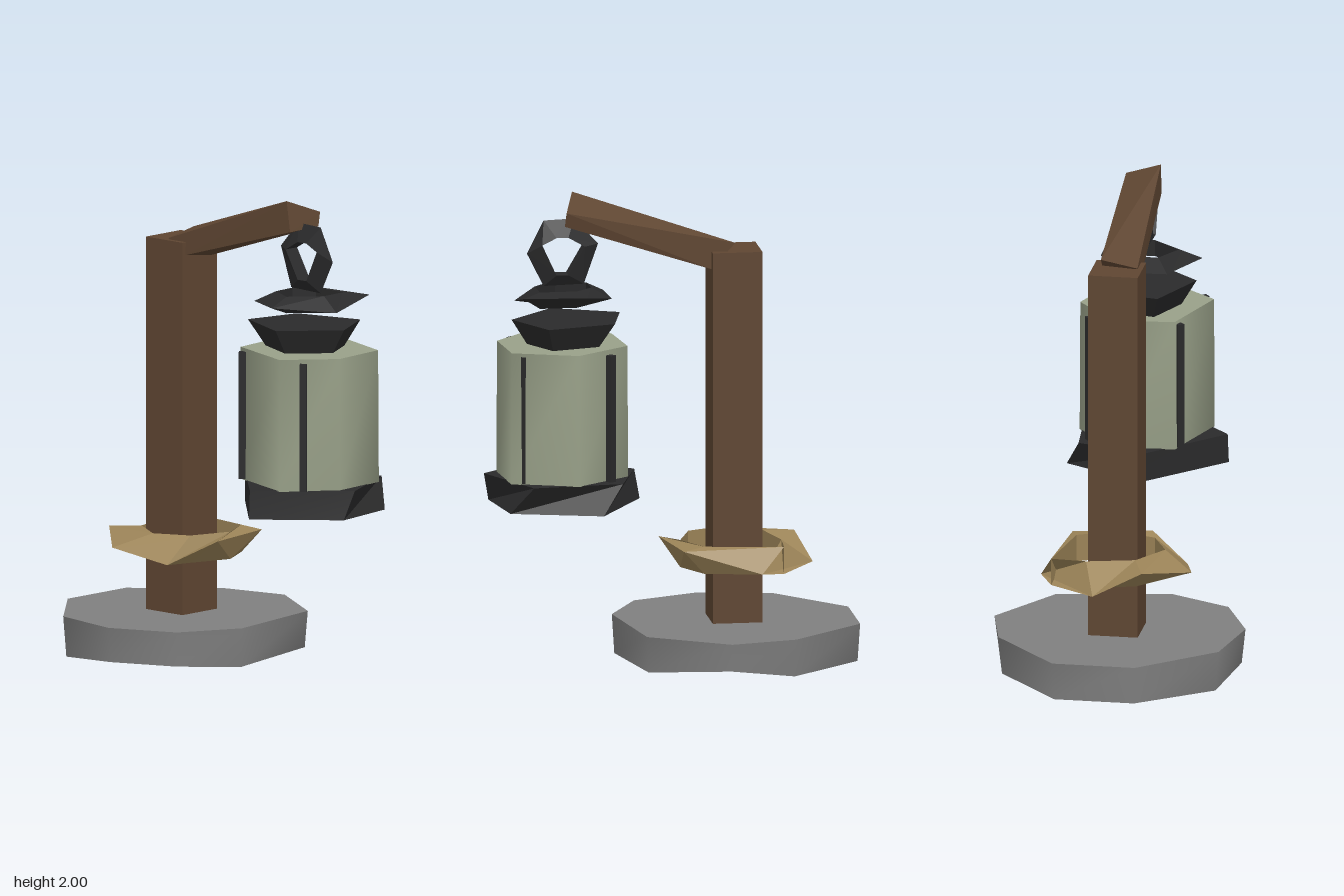
import * as THREE from 'three';
import { toCreasedNormals } from 'three/addons/utils/BufferGeometryUtils.js';
import { ConvexGeometry } from 'three/addons/geometries/ConvexGeometry.js';

const paint = (name, color) => {
  const m = new THREE.MeshStandardMaterial({ color });
  m.name = name;
  return m;
};

// Skin consecutive rings of [x, y, z] points; rings run counter-clockwise seen from above
function loft(rings, crease = 0.1) {
  const pos = [];
  const tri = (a, b, c) => {
    const same = (p, q) => p.every((v, k) => v === q[k]);
    if (!same(a, b) && !same(b, c) && !same(c, a)) pos.push(...a, ...b, ...c);
  };
  for (let r = 0; r < rings.length - 1; r++) {
    const p = rings[r], q = rings[r + 1], n = p.length;
    for (let i = 0; i < n; i++) {
      const j = (i + 1) % n;
      tri(p[i], p[j], q[j]);
      tri(p[i], q[j], q[i]);
    }
  }
  const g = new THREE.BufferGeometry();
  g.setAttribute('position', new THREE.Float32BufferAttribute(pos, 3));
  g.computeVertexNormals();
  return toCreasedNormals(g, crease);
}

const level = (pts, y, s = 1) => pts.map(([x, z]) => [x * s, y, z * s]);

// Capped solid between a lower and an upper ring
function solid(lower, upper, crease) {
  const cap = ring => {
    const y = ring.reduce((s, p) => s + p[1], 0) / ring.length;
    return ring.map(() => [0, y, 0]);
  };
  return loft([cap(lower), lower, upper, cap(upper)], crease);
}

// Hoop with a triangular section: outer [x, z, y], inner [x, z]
function hoop(outer, inner, half) {
  const o = outer.map(([x, z, y = 0]) => [x, y, z]);
  return loft([o, level(inner, half), level(inner, -half), o]);
}

export function createModel() {
  const model = new THREE.Group();
  const stone = paint('stone', 0x808080);
  const wood = paint('wood', 0x5f4632);
  const iron = paint('iron', 0x2a2a2b);
  const rope = paint('rope', 0x9c8458);
  const glass = paint('glass', 0x99a189);

  const add = (name, geo, mat, x = 0, y = 0, z = 0) => {
    const m = new THREE.Mesh(geo, mat);
    m.name = name;
    m.position.set(x, y, z);
    model.add(m);
    return m;
  };

  // Stone foot
  const foot = [[0.49, 0.15], [0.41, -0.33], [0.08, -0.535], [-0.2, -0.47], [-0.51, -0.19],
    [-0.51, 0.16], [-0.24, 0.47], [0.08, 0.53], [0.36, 0.41]];
  const dips = [0.01, 0.03, 0.09, 0.02, 0.02, 0.02, 0, 0.04, 0.04];
  const footBottom = foot.map(([x, z], i) => [x * 0.98, dips[i] * 0.6, z * 0.97]);
  add('stoneFoot', solid(footBottom, level(foot, 0.172), 0.95), stone, -0.27);

  // Post and sloping arm
  add('post', new THREE.BoxGeometry(0.21, 1.6, 0.21), wood, -0.275, 0.955);
  const armCorners = [
    [-0.27, 1.79, -0.07], [-0.27, 1.76, 0.085], [-0.17, 1.68, -0.07], [-0.17, 1.7, 0.085],
    [0.4, 2, 0.07], [0.445, 1.94, -0.085], [0.45, 1.88, -0.07], [0.42, 1.87, 0.07],
  ];
  add('arm', new ConvexGeometry(armCorners.map(p => new THREE.Vector3(...p))), wood);

  // Rope hoop round the post
  add('ropeHoop', hoop(
    [[0.31, 0.1, 0.045], [0.25, -0.23, 0.045], [-0.07, -0.31, -0.045], [-0.32, -0.05, -0.05],
      [-0.27, 0.15, 0.045], [-0.08, 0.33, 0], [0.18, 0.27, -0.05]],
    [[0.24, -0.05], [0.16, -0.2], [-0.17, -0.25], [-0.18, -0.1],
      [-0.13, 0.1], [0.03, 0.2], [0.18, 0.13]], 0.058), rope, -0.28, 0.465);

  // Upright hanging link
  const link = add('upperLink', hoop(
    [[0.15, 0], [0.08, -0.14], [-0.05, -0.145], [-0.15, -0.035], [-0.09, 0.135], [0.08, 0.14]],
    [[0.09, -0.04], [0.03, -0.07], [-0.02, -0.07], [-0.09, -0.03], [-0.02, 0.09], [0.03, 0.09]],
    0.035), iron, 0.45, 1.755);
  link.rotation.x = Math.PI / 2;

  // Flat link below it
  const flat = [[0.2, 0.03, -0.025], [0.19, -0.18, 0.025], [-0.08, -0.18, 0.02],
    [-0.2, -0.06, -0.01], [-0.19, 0.12, -0.01], [0.02, 0.235, 0]];
  add('lowerLink', hoop(flat, flat.map(([x, z]) => [x * 0.58, z * 0.58]), 0.035),
    iron, 0.45, 1.575);

  // Lantern cap
  const cap = [[0.215, 0], [0.09, -0.23], [-0.2, -0.15], [-0.255, 0.09], [0.02, 0.21]];
  add('lanternCap', solid(level(cap, 1.37, 0.7), level(cap, 1.475)), iron, 0.45);

  // Glass body
  const pane = [[0.265, 0.08], [0.24, -0.18], [-0.03, -0.275], [-0.26, -0.1],
    [-0.23, 0.16], [0.1, 0.27]];
  add('glassBody', solid(level(pane, 0.81, 1.01), level(pane, 1.37), 1.3), glass, 0.45);

  // Corner bars
  const bars = [[0.635, 0.215], [0.245, 0.175], [0.275, -0.21], [0.64, -0.185]];
  for (const [x, z] of bars) {
    const bar = add('cornerBar', new THREE.BoxGeometry(0.03, 0.54, 0.03), iron, x, 1.085, z);
    bar.rotation.y = -Math.atan2(z, x - 0.45);
  }

  // Lantern tray
  const trayTop = [[0.325, 0.05], [0.16, -0.285], [-0.22, -0.25], [-0.31, 0.05], [0, 0.345]];
  const trayBottom = [[0.3, 0.09], [0.25, -0.21], [-0.13, -0.315], [-0.33, 0.03], [0, 0.35]];
  add('lanternTray', solid(level(trayBottom, 0.69), level(trayTop, 0.812)), iron, 0.45);

  return model;
}
